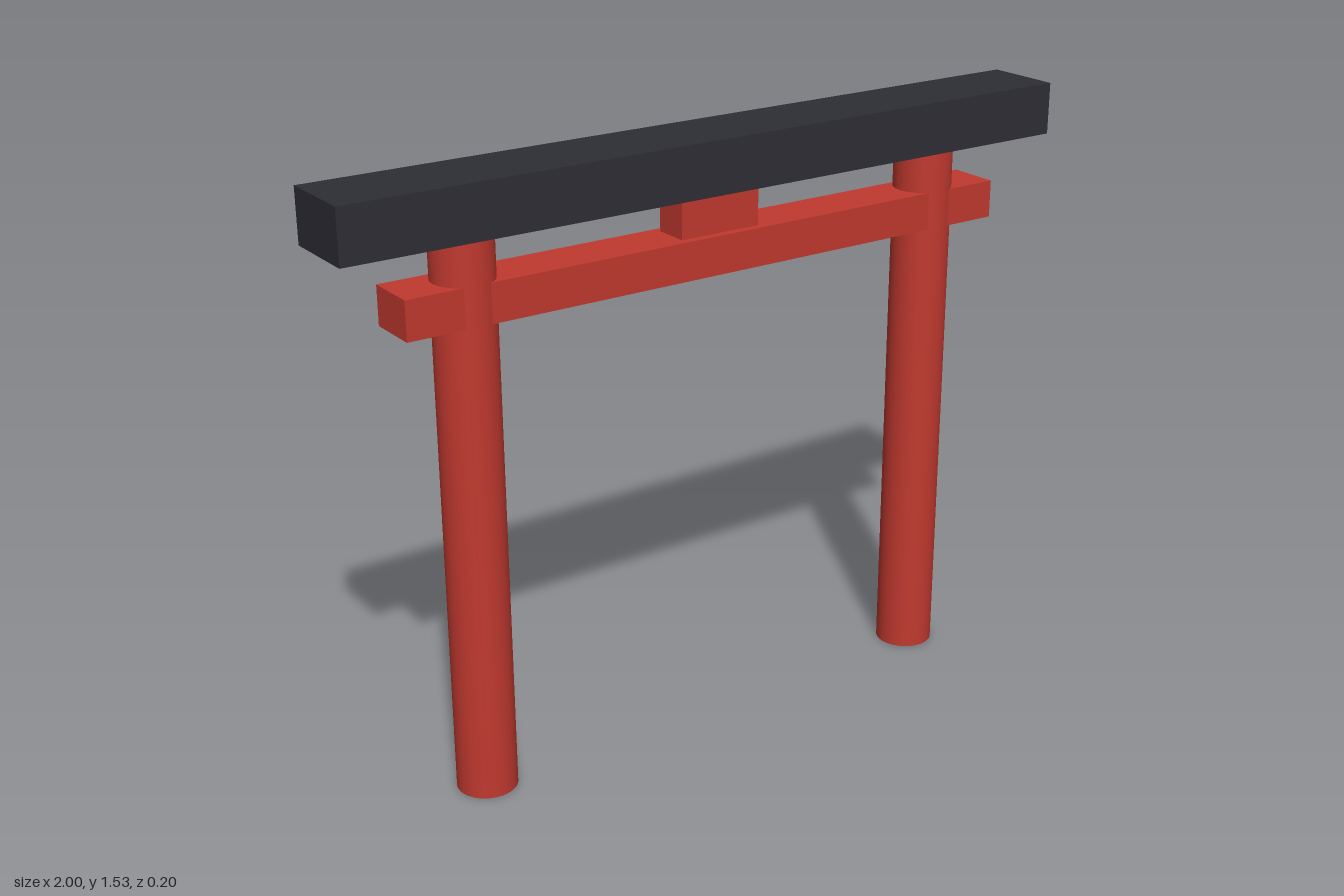
import * as THREE from 'three';

export function createModel() {
  const group = new THREE.Group();
  const red = new THREE.MeshStandardMaterial({ color: 0xc0392f });
  red.name = 'red paint';
  const black = new THREE.MeshStandardMaterial({ color: 0x2d2d35 });
  black.name = 'black lacquer';

  const add = (name, geometry, material, x, y) => {
    const mesh = new THREE.Mesh(geometry, material);
    mesh.name = name;
    mesh.position.set(x, y, 0);
    group.add(mesh);
  };

  // Round posts
  const post = new THREE.CylinderGeometry(0.075, 0.075, 1.403, 32);
  add('leftPost', post, red, 0.665, 0.7015);
  add('rightPost', post, red, -0.665, 0.7015);

  // Tie beam running through both posts
  add('tieBeam', new THREE.BoxGeometry(1.684, 0.096, 0.134), red, 0, 1.247);

  // Short strut between the two beams
  add('centreStrut', new THREE.BoxGeometry(0.22, 0.108, 0.092), red, 0, 1.349);

  // Top beam
  add('topBeam', new THREE.BoxGeometry(2, 0.132, 0.2), black, 0, 1.469);

  return group;
}
